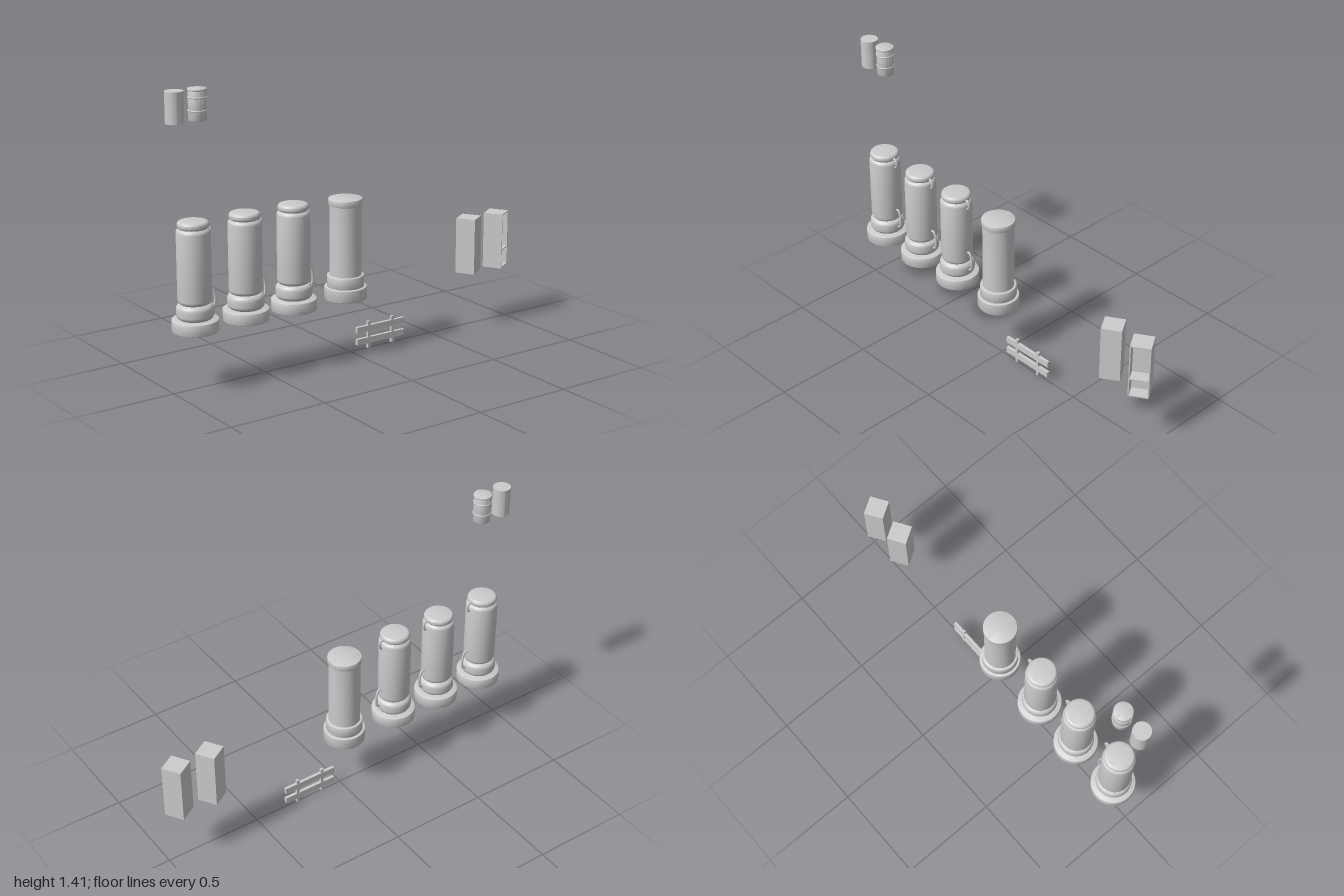
import * as THREE from 'three';
import { toCreasedNormals } from 'three/addons/utils/BufferGeometryUtils.js';

const material = new THREE.MeshStandardMaterial({ color: 0xcccccc });
const V2 = (x, y) => new THREE.Vector2(x, y);

function add(parent, name, geometry, x = 0, y = 0, z = 0) {
  const mesh = new THREE.Mesh(geometry, material);
  mesh.name = name;
  mesh.position.set(x, y, z);
  parent.add(mesh);
  return mesh;
}

function group(parent, name, x, y) {
  const g = new THREE.Group();
  g.name = name;
  g.position.set(x, y, 0);
  parent.add(g);
  return g;
}

// Upright drum section with rounded rims of radius b, closed at both ends
function drum(r, y0, y1, b = 0) {
  const points = [V2(0, y0)];
  const steps = b ? 5 : 0;
  for (let i = 0; i <= steps; i++) {
    const a = b ? (i / steps) * Math.PI / 2 : 0;
    points.push(V2(r - b + b * Math.sin(a), y0 + b - b * Math.cos(a)));
  }
  for (let i = 0; i <= steps; i++) {
    const a = b ? (i / steps) * Math.PI / 2 : 0;
    points.push(V2(r - b + b * Math.cos(a), y1 - b + b * Math.sin(a)));
  }
  points.push(V2(0, y1));
  return toCreasedNormals(new THREE.LatheGeometry(points, 40), 0.6);
}

function pipe(points) {
  const curve = new THREE.CatmullRomCurve3(points.map(([x, y]) => new THREE.Vector3(x, y, 0)));
  return new THREE.TubeGeometry(curve, 24, 0.006, 8);
}

// Tank on a round foot, with two bent pipes on its left side
function addTank(parent, x) {
  const tank = group(parent, 'tank', x, 0.285);
  add(tank, 'foot', drum(0.11, 0, 0.057, 0.003));
  add(tank, 'collar', drum(0.088, 0.057, 0.132, 0.024));
  add(tank, 'neck', drum(0.066, 0.12, 0.5));
  add(tank, 'body', drum(0.08, 0.13, 0.49, 0.022));
  add(tank, 'capNeck', drum(0.064, 0.48, 0.5));
  add(tank, 'cap', drum(0.074, 0.486, 0.522, 0.015));
  add(tank, 'lowerPipe', pipe([[0.076, 0.196], [0.092, 0.198], [0.105, 0.17],
    [0.108, 0.13], [0.102, 0.105], [0.08, 0.096]]));
  add(tank, 'upperPipe', pipe([[0.068, 0.502], [0.085, 0.498], [0.093, 0.478],
    [0.086, 0.457], [0.072, 0.45]]));
}

// Cabinet with an optional hollow front split by a shelf
function addCabinet(parent, name, x, open) {
  const cabinet = group(parent, name, x, 0.285);
  cabinet.rotation.y = 0.56;
  const s = 0.1, h = 0.288, t = 0.006, depth = 0.06;
  if (!open) {
    add(cabinet, 'cabinetBody', new THREE.BoxGeometry(s, h, s), 0, h / 2, 0);
    return;
  }
  const back = s - depth;
  add(cabinet, 'cabinetBody', new THREE.BoxGeometry(s, h, back), 0, h / 2, -s / 2 + back / 2);
  const zFront = s / 2 - depth / 2;
  for (const side of [-1, 1]) {
    add(cabinet, 'sidePanel', new THREE.BoxGeometry(t, h, depth), side * (s - t) / 2, h / 2, zFront);
  }
  for (const [shelf, y] of [['floorPanel', t / 2], ['shelf', 0.098], ['topPanel', h - t / 2]]) {
    add(cabinet, shelf, new THREE.BoxGeometry(s - 2 * t, t, depth), 0, y, zFront);
  }
}

export function createModel() {
  const model = new THREE.Group();
  model.name = 'industrialProps';

  for (const x of [-0.876, -0.601, -0.331]) addTank(model, x);

  // Plain stepped column
  const column = group(model, 'column', -0.029, 0.285);
  add(column, 'columnFoot', drum(0.104, 0, 0.063, 0.003));
  add(column, 'columnCollar', drum(0.091, 0.063, 0.121, 0.004));
  add(column, 'columnShaft', drum(0.078, 0.121, 0.475));
  add(column, 'columnCap', drum(0.083, 0.471, 0.504, 0.003));

  // Barrels
  const plain = group(model, 'plainBarrel', -0.957, 1.266);
  add(plain, 'plainBarrelBody', drum(0.043, 0, 0.146));
  const ribbed = group(model, 'ribbedBarrel', -0.839, 1.266);
  add(ribbed, 'ribbedBarrelBody', drum(0.042, 0, 0.146, 0.002));
  for (const y of [0.046, 0.106]) {
    const rib = add(ribbed, 'barrelRib', new THREE.TorusGeometry(0.042, 0.0035, 8, 40), 0, y, 0);
    rib.rotation.x = Math.PI / 2;
  }
  add(ribbed, 'barrelRim', drum(0.0445, 0.136, 0.146, 0.002));

  // Cabinets
  addCabinet(model, 'closedCabinet', 0.743, false);
  addCabinet(model, 'openCabinet', 0.925, true);

  // Two-rail fence
  const fence = group(model, 'fence', 0.183, 0);
  for (const y of [0.04, 0.102]) {
    add(fence, 'fenceRail', new THREE.BoxGeometry(0.29, 0.031, 0.016), 0, y, 0);
  }
  for (const x of [-0.073, 0.073]) {
    add(fence, 'fencePost', new THREE.BoxGeometry(0.015, 0.138, 0.014), x, 0.069, 0);
  }
  return model;
}
